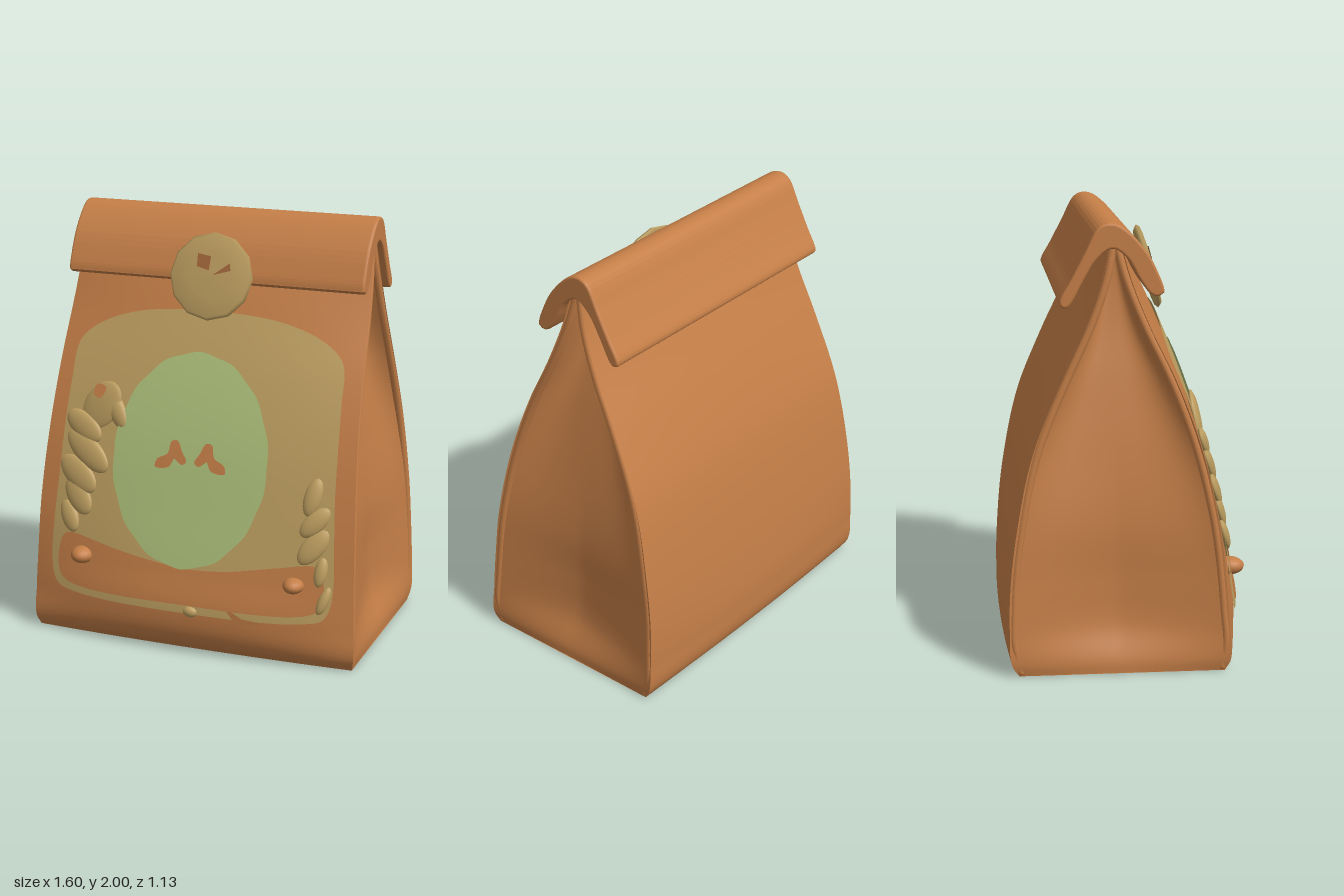
import * as THREE from 'three';

const paper = new THREE.MeshStandardMaterial({ color: 0xc47e47, side: THREE.DoubleSide });
paper.name = 'kraftPaper';
const tan = new THREE.MeshStandardMaterial({ color: 0xbd9e60, side: THREE.DoubleSide });
tan.name = 'tanLabel';
const green = new THREE.MeshStandardMaterial({ color: 0xacbf79, side: THREE.DoubleSide });
green.name = 'paleGreen';
const brown = new THREE.MeshStandardMaterial({ color: 0xa4683b, side: THREE.DoubleSide });
brown.name = 'darkPaper';

// Smooth profile over height
const heights = [0, 0.05, 0.2, 0.4, 0.65, 1, 1.3, 1.55, 1.75, 1.95];
const profile = (values) => {
  const curve = new THREE.CubicInterpolant(heights, values, 1);
  return (y) => curve.evaluate(Math.min(Math.max(y, 0), 1.95))[0];
};
const halfWidth = profile([0.785, 0.797, 0.795, 0.787, 0.778, 0.758, 0.742, 0.73, 0.718, 0.7]);
const frontMid = profile([0.45, 0.505, 0.545, 0.51, 0.452, 0.365, 0.268, 0.168, 0.075, -0.03]);
const frontEdge = profile([0.43, 0.455, 0.45, 0.435, 0.405, 0.325, 0.215, 0.095, 0.015, -0.04]);
const backMid = profile([-0.5, -0.54, -0.557, -0.545, -0.512, -0.44, -0.332, -0.22, -0.135, -0.08]);
const backEdge = profile([-0.49, -0.52, -0.53, -0.525, -0.495, -0.42, -0.3, -0.185, -0.115, -0.075]);
const gusset = profile([0.003, 0.018, 0.07, 0.075, 0.065, 0.09, 0.13, 0.17, 0.18, 0.16]);

function panelZ(mid, edge, x, y) {
  const t = Math.min(Math.abs(x) / halfWidth(y), 1);
  return edge(y) + (mid(y) - edge(y)) * (1 - t ** 2.2);
}
const frontZ = (x, y) => panelZ(frontMid, frontEdge, x, y);

// Surface from a rule point(u, v) -> [x, y, z]
function grid(point, nu, nv) {
  const pos = [], index = [];
  for (let j = 0; j <= nv; j++) {
    for (let i = 0; i <= nu; i++) pos.push(...point(i / nu, j / nv));
  }
  for (let j = 0; j < nv; j++) {
    for (let i = 0; i < nu; i++) {
      const a = j * (nu + 1) + i, b = a + nu + 1;
      index.push(a, a + 1, b + 1, a, b + 1, b);
    }
  }
  const g = new THREE.BufferGeometry();
  g.setAttribute('position', new THREE.Float32BufferAttribute(pos, 3));
  g.setIndex(index);
  g.computeVertexNormals();
  return g;
}

// Patch that follows the front panel; the outline runs counter-clockwise
function patch(points, lift, segments = 96) {
  const curve = new THREE.CatmullRomCurve3(
    points.map(([x, y]) => new THREE.Vector3(x, y, 0)), true, 'centripetal');
  const edge = curve.getPoints(segments);
  const c = new THREE.Vector3();
  edge.slice(0, -1).forEach((p) => c.addScaledVector(p, 1 / segments));
  return grid((u, v) => {
    const p = edge[Math.round(u * segments)].clone().lerp(c, v);
    return [p.x, p.y, frontZ(p.x, p.y) + lift];
  }, segments, 16);
}

function ellipse(cx, cy, rx, ry, n, wobble) {
  return Array.from({ length: n }, (_, i) => {
    const a = (i / n) * Math.PI * 2, r = 1 + (i % 2 ? wobble : -wobble);
    return [cx + Math.cos(a) * rx * r, cy + Math.sin(a) * ry * r];
  });
}

export function createModel() {
  const model = new THREE.Group();
  const add = (name, geometry, material, parent = model) => {
    const mesh = new THREE.Mesh(geometry, material);
    mesh.name = name;
    parent.add(mesh);
    return mesh;
  };

  // Bag panels
  const top = 1.93;
  const rowY = (v) => top * v ** 1.4;
  add('frontPanel', grid((u, v) => {
    const y = rowY(v), x = (2 * u - 1) * halfWidth(y);
    return [x, y, frontZ(x, y)];
  }, 32, 60), paper);
  add('backPanel', grid((u, v) => {
    const y = rowY(v), x = (1 - 2 * u) * halfWidth(y);
    return [x, y, panelZ(backMid, backEdge, x, y)];
  }, 32, 60), paper);

  // Sides: creased low down, sunken and flat in the middle, tucked in at the top
  for (const side of [1, -1]) {
    add(side > 0 ? 'leftGusset' : 'rightGusset', grid((u, v) => {
      const y = rowY(v), t = side > 0 ? u : 1 - u;
      const crease = 1 - Math.abs(2 * t - 1) ** 1.3;
      const tray = 1 - Math.abs(2 * t - 1) ** 4;
      const fold = THREE.MathUtils.lerp(crease, tray, THREE.MathUtils.smoothstep(y, 0.3, 1.2));
      return [side * (halfWidth(y) - gusset(y) * fold), y,
        THREE.MathUtils.lerp(frontEdge(y), backEdge(y), t)];
    }, 32, 60), paper);
  }
  add('bottom', grid((u, v) => {
    const x = (2 * u - 1) * halfWidth(0);
    return [x, 0, THREE.MathUtils.lerp(panelZ(backMid, backEdge, x, 0), frontZ(x, 0), v)];
  }, 32, 4), paper);

  // Soft rolled rims along the gusset edges
  for (const side of [1, -1]) {
    for (const [edge, inward] of [[frontEdge, -0.021], [backEdge, 0.021]]) {
      const path = Array.from({ length: 16 }, (_, i) => {
        const y = 0.018 + (i / 15) * 1.87;
        return new THREE.Vector3(side * (halfWidth(y) - 0.015), y, edge(y) + inward);
      });
      add('gussetRim', new THREE.TubeGeometry(new THREE.CatmullRomCurve3(path), 48, 0.018, 10), paper);
      add('rimEnd', new THREE.SphereGeometry(0.018, 10, 8), paper).position.copy(path[0]);
    }
  }

  // Folded top, drawn as (z, y) and extruded across the bag
  const foldLine = new THREE.SplineCurve([
    [0.158, 1.7], [0.145, 1.75], [0.085, 1.87], [0.0, 1.965], [-0.07, 2.0], [-0.135, 1.975],
    [-0.19, 1.87], [-0.25, 1.755], [-0.297, 1.67], [-0.285, 1.638], [-0.25, 1.65], [-0.195, 1.75],
    [-0.14, 1.84], [-0.07, 1.89], [-0.005, 1.85], [0.045, 1.765], [0.09, 1.7], [0.128, 1.683], [0.158, 1.7],
  ].map(([z, y]) => new THREE.Vector2(-z, y)));
  const flap = new THREE.ExtrudeGeometry(new THREE.Shape(foldLine.getPoints(90)), {
    depth: 1.425, bevelEnabled: true, bevelSize: 0.01, bevelThickness: 0.012, bevelSegments: 3,
    bevelOffset: -0.01,
  });
  flap.translate(0, 0, -0.7125);
  flap.rotateY(Math.PI / 2);
  add('foldedTop', flap, paper);

  // Front label, lower band and oval
  const half = [[0.57, 0.225], [0.66, 0.25], [0.695, 0.33], [0.68, 0.8], [0.665, 1.2],
    [0.65, 1.37], [0.57, 1.45], [0.36, 1.53]];
  const mirrored = half.slice().reverse().map(([x, y]) => [-x, y]);
  add('label', patch([[0, 0.215], ...half, [0, 1.56], ...mirrored], 0.01, 120), tan);
  add('labelBand', patch([[-0.6, 0.27], [0, 0.255], [0.6, 0.27], [0.65, 0.31], [0.655, 0.43],
    [0.62, 0.49], [0.4, 0.46], [0.2, 0.43], [0, 0.42], [-0.2, 0.44], [-0.4, 0.47],
    [-0.62, 0.5], [-0.655, 0.44], [-0.65, 0.31]], 0.015), paper);
  add('greenOval', patch(ellipse(-0.02, 0.9, 0.38, 0.48, 28, 0.008), 0.02), green);

  // Two small mounds painted on the oval
  const mound = [[0.172, 0.865], [0.165, 0.9], [0.115, 0.93], [0.1, 0.985], [0.07, 0.99],
    [0.045, 0.945], [0.02, 0.9], [0.045, 0.885], [0.075, 0.915], [0.105, 0.87]];
  add('leftMound', patch(mound.map(([x, y]) => [x - 0.01, y]), 0.025, 60), paper);
  add('rightMound', patch(mound.slice().reverse().map(([x, y]) => [-x - 0.01, y]), 0.025, 60), paper);

  // Low relief leaves: x, y, length, width, turn
  const leaves = [
    [-0.49, 1.1, 0.13, 0.09, 1.0], [-0.41, 1.09, 0.1, 0.045, -1.0], [-0.57, 1.0, 0.11, 0.06, -0.5],
    [-0.54, 0.89, 0.14, 0.065, -0.6], [-0.58, 0.78, 0.12, 0.065, -0.6], [-0.57, 0.68, 0.1, 0.06, -0.9],
    [-0.61, 0.58, 0.08, 0.045, -1.1],
    [0.58, 0.8, 0.09, 0.04, 1.3], [0.6, 0.69, 0.09, 0.045, 0.8], [0.6, 0.58, 0.1, 0.05, 0.9],
    [0.64, 0.47, 0.07, 0.03, 1.4], [0.66, 0.34, 0.07, 0.025, 1.2],
  ];
  for (const [x, y, length, width, turn] of leaves) {
    const leaf = add('leaf', new THREE.SphereGeometry(1, 24, 14), tan);
    leaf.scale.set(length, width, 0.022);
    leaf.rotation.set(-0.24, Math.sign(x) * 0.15, turn, 'YXZ');
    leaf.position.set(x, y, frontZ(x, y) + 0.01);
  }
  add('leafChip', patch([[-0.525, 1.155], [-0.49, 1.14], [-0.465, 1.19], [-0.515, 1.2]], 0.038, 24), paper);

  // Small bumps on the band and lower border
  for (const [x, y, r, depth, mat] of [[-0.53, 0.41, 0.055, 0.07, paper], [0.52, 0.4, 0.05, 0.065, paper],
    [0.04, 0.225, 0.035, 0.022, tan]]) {
    const bump = add('bump', new THREE.SphereGeometry(1, 16, 12), mat);
    bump.scale.set(r, r * 0.75, depth);
    bump.position.set(x, y, frontZ(x, y) + 0.005);
  }

  // Loose paper scrap
  const scrap = add('paperScrap', new THREE.ShapeGeometry(new THREE.Shape([
    new THREE.Vector2(0.2, 0.275), new THREE.Vector2(0.265, 0.19), new THREE.Vector2(0.4, 0.215),
    new THREE.Vector2(0.29, 0.225)])), paper);
  scrap.position.z = 0.55;

  // Tilted round seal with two torn chips
  const seal = new THREE.Group();
  seal.name = 'seal';
  seal.position.set(-0.005, 1.718, 0.16);
  seal.rotation.x = -0.27;
  model.add(seal);
  const disc = add('sealDisc', new THREE.LatheGeometry([[0, -0.015], [0.185, -0.015], [0.203, 0],
    [0.19, 0.015], [0.1, 0.022], [0, 0.024]].map(([x, y]) => new THREE.Vector2(x, y)), 12), tan, seal);
  disc.rotation.x = Math.PI / 2;
  for (const chip of [[[-0.065, 0.04], [-0.005, 0.025], [0, 0.09], [-0.065, 0.1]],
    [[0.015, 0.005], [0.1, 0.03], [0.095, 0.065]]]) {
    const shape = new THREE.Shape(chip.map(([x, y]) => new THREE.Vector2(x, y)));
    add('sealChip', new THREE.ShapeGeometry(shape), brown, seal).position.z = 0.027;
  }
  return model;
}
